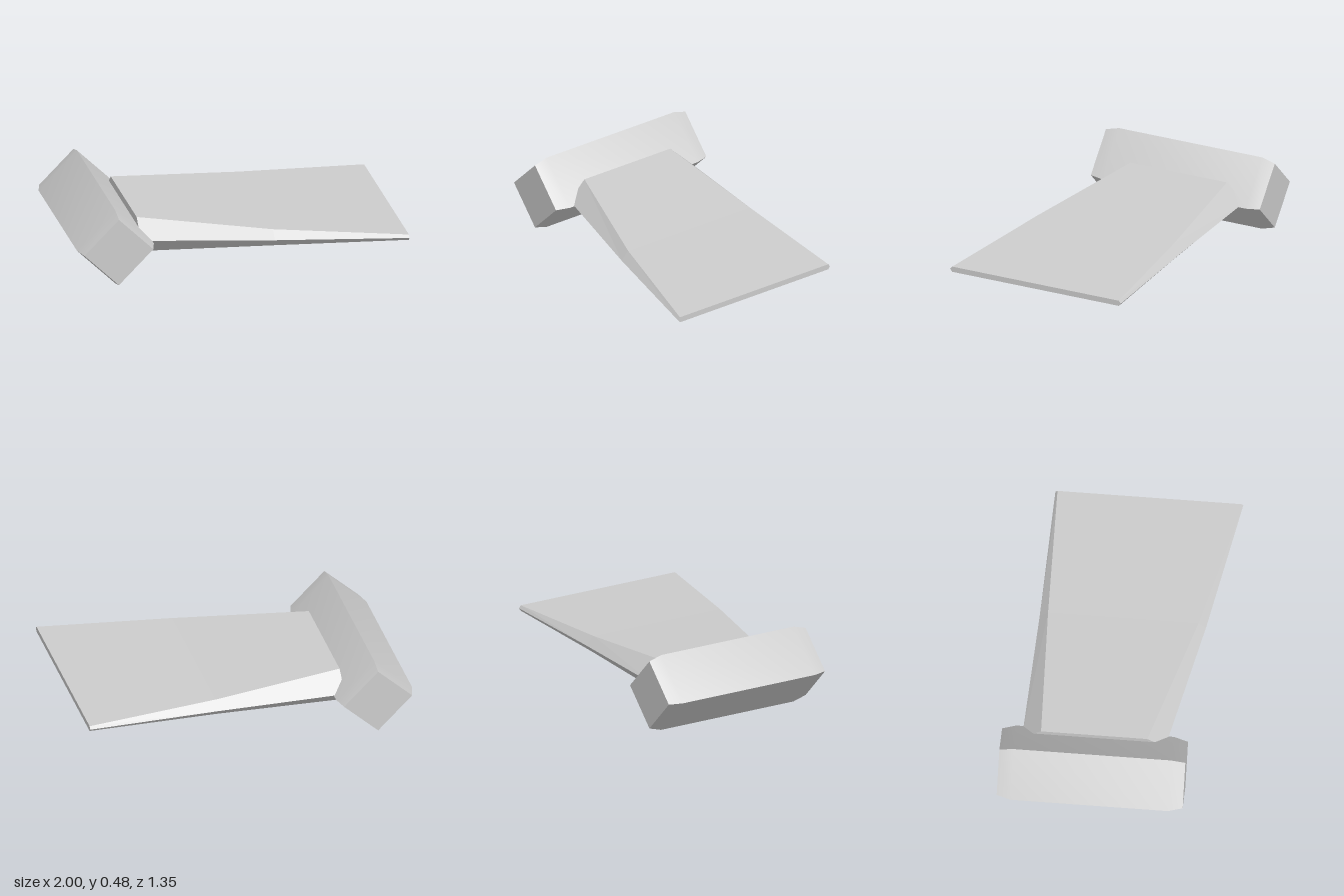
import * as THREE from 'three';
import { toCreasedNormals } from 'three/addons/utils/BufferGeometryUtils.js';

// Skin a row of cross-sections (counter-clockwise seen from the far end) and cap both ends.
function loft(rings) {
  const n = rings[0].length;
  const last = rings[rings.length - 1];
  const pos = [];
  const tri = (...pts) => pts.forEach((p) => pos.push(...p));
  for (let i = 0; i < rings.length - 1; i++) {
    for (let j = 0; j < n; j++) {
      const k = (j + 1) % n;
      const [a, b, c, d] = [rings[i][j], rings[i][k], rings[i + 1][k], rings[i + 1][j]];
      tri(a, b, c);
      tri(a, c, d);
    }
  }
  for (let j = 1; j < n - 1; j++) {
    tri(rings[0][0], rings[0][j + 1], rings[0][j]);
    tri(last[0], last[j], last[j + 1]);
  }
  const geometry = new THREE.BufferGeometry();
  geometry.setAttribute('position', new THREE.Float32BufferAttribute(pos, 3));
  geometry.computeVertexNormals();
  return geometry;
}

const CX = -0.76;
const CY = 0.24;

// Square bar section standing on its corner
const diamond = ([z, r]) => [[CX + r, CY, z], [CX, CY + r, z], [CX - r, CY, z], [CX, CY - r, z]];

// Six-sided blade section: flat top and bottom with bevelled front and back edges
const bladeSection = ([x, top, bottom, flatBack, flatFront, edgeBack, edgeFront]) => [
  [x, top, flatBack], [x, top, flatFront], [x, CY + 0.003, edgeFront],
  [x, bottom, flatFront], [x, bottom, flatBack], [x, CY + 0.003, edgeBack],
];

export function createModel() {
  const model = new THREE.Group();
  model.name = 'finOnBar';
  const steel = new THREE.MeshStandardMaterial({ color: 0xcccccc });
  steel.name = 'light grey';

  // Bar with slightly tapered ends
  const barGeometry = loft([[-0.675, 0.215], [-0.59, 0.24], [0.367, 0.24], [0.455, 0.215]].map(diamond));
  const bar = new THREE.Mesh(toCreasedNormals(barGeometry, 0.3), steel);
  bar.name = 'bar';

  // Blade that thins and widens towards its tip
  const bladeGeometry = loft([
    [-0.588, 0.355, 0.13, -0.435, 0.21, -0.55, 0.32],
    [0.2, 0.296, 0.19, -0.453, 0.46, -0.503, 0.508],
    [1, 0.26, 0.225, -0.457, 0.658, -0.47, 0.672],
  ].map(bladeSection));
  const blade = new THREE.Mesh(bladeGeometry, steel);
  blade.name = 'blade';

  model.add(bar, blade);
  return model;
}
